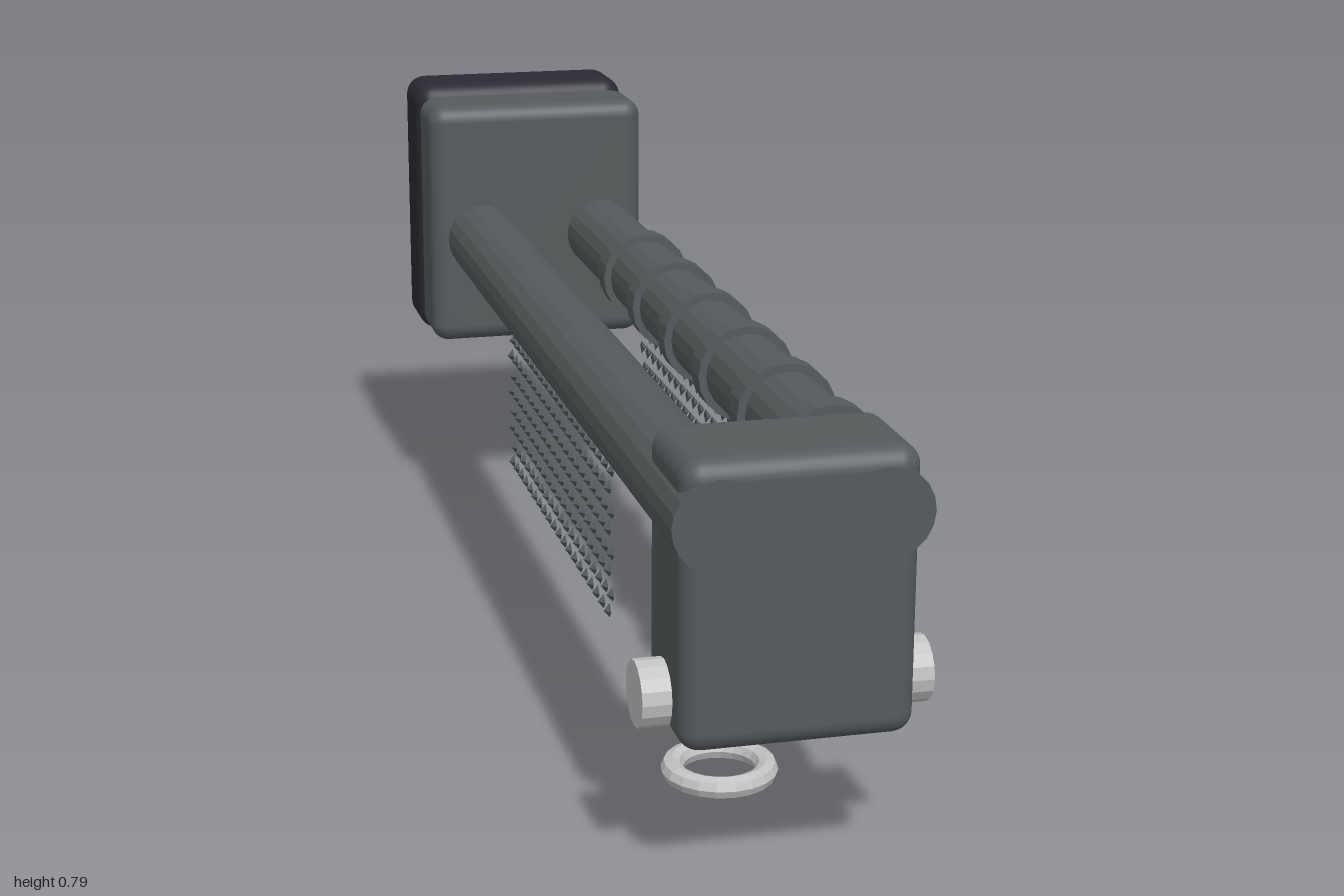
import * as THREE from 'three';
import { RoundedBoxGeometry } from 'three/addons/geometries/RoundedBoxGeometry.js';

const mat = (name, color) => Object.assign(new THREE.MeshStandardMaterial({ color }), { name });

export function createModel() {
  const model = new THREE.Group();
  const body = mat('gunmetal grey', 0x565a5c);
  const pad = mat('dark rubber', 0x2a2a33);
  const metal = mat('light steel', 0xc2c2c2);

  const add = (name, geometry, material, x, y, z, parent = model) => {
    const mesh = new THREE.Mesh(geometry, material);
    mesh.name = name;
    mesh.position.set(x, y, z);
    parent.add(mesh);
    return mesh;
  };
  // Gives a geometry faceted normals
  const facet = (geometry) => {
    const flat = geometry.toNonIndexed();
    flat.computeVertexNormals();
    return flat;
  };
  // Rounded block given by its extents, centred on x = 0
  const block = (name, material, width, y0, y1, z0, z1, radius) =>
    add(name, new RoundedBoxGeometry(width, y1 - y0, z1 - z0, 4, radius), material,
      0, (y0 + y1) / 2, (z0 + z1) / 2);

  const railX = 0.1125, railY = 0.531;

  // End blocks
  block('frontBlock', body, 0.32, 0.218, 0.617, 0.812, 1, 0.03);
  block('backPlate', body, 0.4, 0.326, 0.772, -0.832, -0.687, 0.03);
  block('backPad', pad, 0.4, 0.308, 0.787, -1, -0.842, 0.035);

  // Twin rails with small eyelets underneath
  const railGeo = facet(new THREE.CylinderGeometry(0.063, 0.063, 1.655, 20).rotateX(Math.PI / 2));
  const eyeletGeo = new THREE.TorusGeometry(0.016, 0.009, 8, 16).rotateY(Math.PI / 2);
  for (const side of [-1, 1]) {
    add(side > 0 ? 'leftRail' : 'rightRail', railGeo, body, side * railX, railY, 0.1725);
    for (const z of [0.617, 0.041, -0.535]) add('eyelet', eyeletGeo, metal, side * railX, 0.47, z);
  }

  // Collars along the left rail
  const collarGeo = facet(new THREE.CylinderGeometry(0.075, 0.075, 0.045, 20).rotateX(Math.PI / 2));
  for (let i = 0; i < 6; i++) add('collar', collarGeo, body, railX, railY, 0.737 - i * 0.2115);

  // Cross pin through the front block
  add('crossPin', facet(new THREE.CylinderGeometry(0.046, 0.046, 0.4, 16).rotateZ(Math.PI / 2)),
    metal, 0, 0.275, 0.906);

  // Loose ring lying on the ground
  add('groundRing', facet(new THREE.TorusGeometry(0.07, 0.0165, 8, 20).rotateX(Math.PI / 2)),
    metal, 0, 0.0165, 0.611);

  // Two hanging nets of staggered diamond studs, points outward
  const studGeo = facet(new THREE.ConeGeometry(0.0115, 0.0095, 4).rotateZ(-Math.PI / 2));
  for (const side of [-1, 1]) {
    const net = new THREE.Group();
    net.name = side > 0 ? 'leftNet' : 'rightNet';
    for (let row = 0; row < 9; row++) {
      for (let col = 0; col < 20; col++) {
        const z = 0.425 - (col + (row % 2 ? 0 : 0.5)) * 0.0395;
        const stud = add('netStud', studGeo, body, side * 0.1215, 0.195 + row * 0.0326, z, net);
        if (side < 0) stud.rotation.y = Math.PI;
      }
    }
    model.add(net);
  }
  return model;
}
